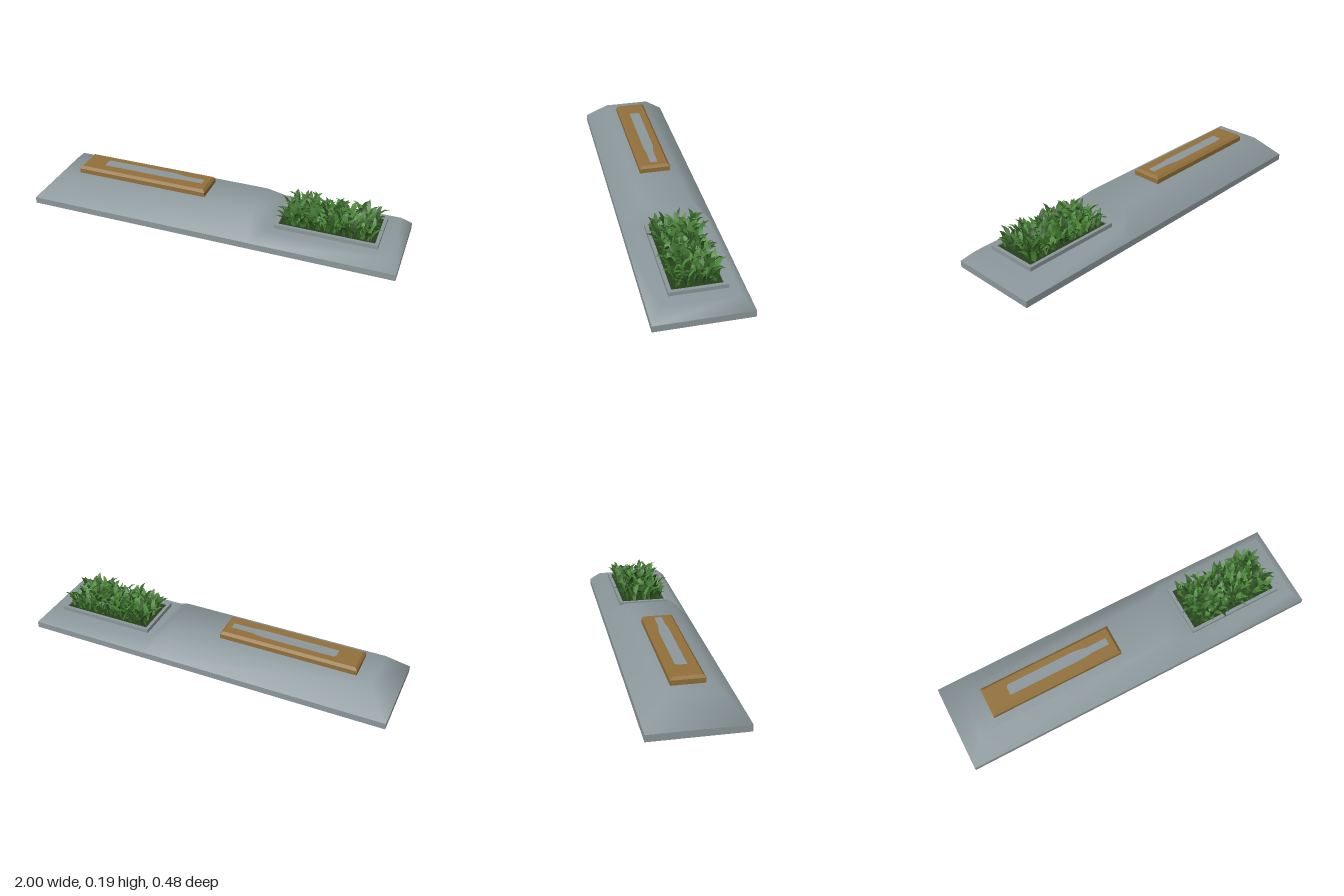
import * as THREE from 'three';
import { mergeGeometries } from 'three/addons/utils/BufferGeometryUtils.js';

const mat = (name, color, side = THREE.FrontSide) => {
  const m = new THREE.MeshStandardMaterial({ color, side });
  m.name = name;
  return m;
};

function mesh(name, geometry, material, parent) {
  const m = new THREE.Mesh(geometry, material);
  m.name = name;
  parent.add(m);
  return m;
}

// Geometry from points and quads (counter-clockwise from outside)
function quadGeometry(points, quads) {
  const g = new THREE.BufferGeometry();
  g.setAttribute('position', new THREE.Float32BufferAttribute(points.flat(), 3));
  g.setIndex(quads.flatMap(([a, b, c, d]) => [a, b, c, a, c, d]));
  return g;
}

// Sloped upper shell: stations are [outer x, top x, top height]
function moundGeometry() {
  const rim = 0.035, half = 0.24;
  const stations = [[-1, -0.885, 0.15], [0.23, 0.23, 0.15], [0.32, 0.32, 0.09], [1, 0.945, 0.09]];
  const points = [], quads = [];
  stations.forEach(([ox, tx, h], i) => {
    const w = half - (h - rim);
    points.push([ox, rim, half], [tx, h, w], [tx, h, -w], [ox, rim, -half]);
    if (i === 0) return;
    const a = (i - 1) * 4, b = i * 4;
    for (let k = 0; k < 3; k++) quads.push([a + k, b + k, b + k + 1, a + k + 1]);
  });
  const e = (stations.length - 1) * 4;
  quads.push([0, 1, 2, 3], [e, e + 3, e + 2, e + 1]);
  const g = quadGeometry(points, quads);
  g.computeVertexNormals();
  return g;
}

// Upright band around the open foot of the shell
function bandGeometry() {
  const c = [[-1, 0.24], [1, 0.24], [1, -0.24], [-1, -0.24]];
  const points = c.flatMap(([x, z]) => [[x, 0, z], [x, 0.035, z]]);
  const quads = c.map((_, i) => {
    const j = (i + 1) % 4;
    return [i * 2, j * 2, j * 2 + 1, i * 2 + 1];
  });
  const g = quadGeometry(points, quads).toNonIndexed();
  g.computeVertexNormals();
  return g;
}

// Plank with chamfered upper edges
function plankGeometry(w, d, y0, y1, chamfer) {
  const points = [];
  for (const [y, inset] of [[y0, 0], [y1 - chamfer, 0], [y1, chamfer]]) {
    const x = w / 2 - inset, z = d / 2 - inset;
    points.push([-x, y, z], [x, y, z], [x, y, -z], [-x, y, -z]);
  }
  const quads = [[3, 2, 1, 0], [8, 9, 10, 11]];
  for (const r of [0, 4]) {
    for (let i = 0; i < 4; i++) {
      const j = (i + 1) % 4;
      quads.push([r + i, r + j, r + j + 4, r + i + 4]);
    }
  }
  const g = quadGeometry(points, quads).toNonIndexed();
  g.computeVertexNormals();
  return g;
}

// Arching pointed blade growing along +x
function bladeGeometry(length, height, width) {
  const points = [], quads = [], steps = 4;
  for (let i = 0; i <= steps; i++) {
    const t = i / steps;
    const w = width * [0.55, 0.9, 1, 0.65, 0.02][i] / 2;
    const x = length * Math.pow(t, 1.7);
    const y = height * Math.sin(t * 1.65);
    points.push([x, y, w], [x, y, -w]);
    if (i > 0) quads.push([i * 2 - 2, i * 2, i * 2 + 1, i * 2 - 1]);
  }
  const g = quadGeometry(points, quads);
  g.computeVertexNormals();
  return g;
}

export function createModel() {
  const model = new THREE.Group();
  model.name = 'planterBench';
  const concrete = mat('concrete', 0x8b979b, THREE.DoubleSide);
  const wood = mat('wood', 0x92703a);
  const soilMat = mat('soil', 0x263f1a, THREE.DoubleSide);
  const greens = [
    mat('darkLeaf', 0x2c5222, THREE.DoubleSide),
    mat('midLeaf', 0x3a6c2b, THREE.DoubleSide),
    mat('lightLeaf', 0x4b8537, THREE.DoubleSide),
  ];

  // Hollow concrete base
  const base = new THREE.Group();
  base.name = 'base';
  model.add(base);
  mesh('mound', moundGeometry(), concrete, base);
  mesh('footBand', bandGeometry(), concrete, base);

  // Wooden seat, let slightly into the base, with a concrete inlay
  const seat = new THREE.Group();
  seat.name = 'seat';
  seat.position.set(-0.425, 0, -0.004);
  model.add(seat);
  mesh('plank', plankGeometry(0.74, 0.166, 0.135, 0.188, 0.013), wood, seat);
  const inlayShape = new THREE.Shape([
    [-0.245, -0.024], [0.18, -0.024], [0.23, -0.018], [0.33, -0.018], [0.33, 0.022],
    [0.22, 0.022], [0.15, 0.034], [-0.235, 0.034], [-0.245, 0.02],
  ].map(([x, y]) => new THREE.Vector2(x, y)));
  const inlay = mesh('inlay', new THREE.ShapeGeometry(inlayShape), concrete, seat);
  inlay.rotation.x = -Math.PI / 2;
  inlay.position.y = 0.1892;

  // Planter frame and soil
  const planter = new THREE.Group();
  planter.name = 'planter';
  planter.position.x = 0.617;
  model.add(planter);
  const W = 0.535, D = 0.28, wall = 0.018, frameH = 0.035, frameY = 0.0935;
  for (const s of [-1, 1]) {
    mesh('longWall', new THREE.BoxGeometry(W, frameH, wall), concrete, planter)
      .position.set(0, frameY, s * (D - wall) / 2);
    mesh('shortWall', new THREE.BoxGeometry(wall, frameH, D - 2 * wall), concrete, planter)
      .position.set(s * (W - wall) / 2, frameY, 0);
  }
  mesh('soil', new THREE.BoxGeometry(W - 2 * wall, 0.022, D - 2 * wall), soilMat, planter)
    .position.y = 0.091;

  // Foliage in a jittered grid, leaning outward near the edges
  let seed = 17;
  const rnd = () => (seed = (seed * 16807) % 2147483647) / 2147483647;
  const sets = [[], [], []];
  const cols = 11, rows = 5;
  for (let i = 0; i < cols; i++) {
    for (let j = 0; j < rows; j++) {
      const u = (i + 0.5) / cols * 2 - 1, v = (j + 0.5) / rows * 2 - 1;
      for (let k = 0; k < 5; k++) {
        const a = (k + rnd() * 0.8) / 5 * Math.PI * 2;
        const dx = Math.cos(a) + u * Math.abs(u) * 0.7, dz = Math.sin(a) + v * 0.8;
        const g = bladeGeometry(0.025 + rnd() * 0.045, 0.05 + rnd() * 0.038, 0.018 + rnd() * 0.012);
        g.rotateY(-Math.atan2(dz, dx));
        g.translate(u * 0.235 + (rnd() - 0.5) * 0.025, 0.1, v * 0.115 + (rnd() - 0.5) * 0.02);
        sets[Math.floor(rnd() * 3)].push(g);
      }
    }
  }
  sets.forEach((set, i) => mesh('foliage' + (i + 1), mergeGeometries(set), greens[i], planter));

  return model;
}
